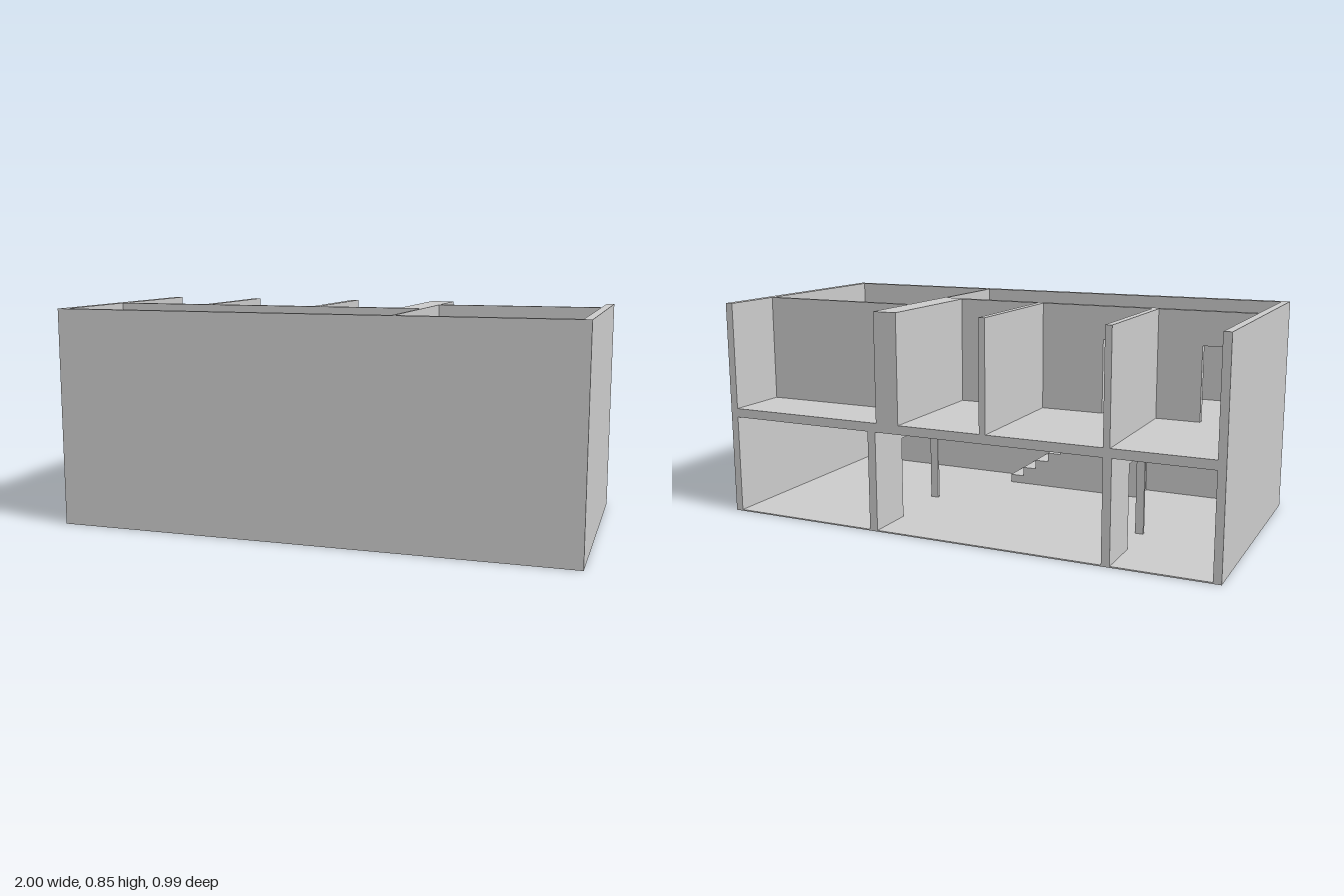
import * as THREE from 'three';

const H = 0.845, CEIL = 0.39, FLOOR = 0.425, Z = 0.495, T = 0.03;

export function createModel() {
  const house = new THREE.Group();
  house.name = 'openHouse';
  const material = new THREE.MeshStandardMaterial({ color: 0xcccccc, flatShading: true });

  const add = (name, geometry) => {
    const mesh = new THREE.Mesh(geometry, material);
    mesh.name = name;
    house.add(mesh);
    return mesh;
  };
  // Box given by its lower and upper limits on each axis
  const block = (name, x0, x1, y0, y1, z0, z1) =>
    add(name, new THREE.BoxGeometry(x1 - x0, y1 - y0, z1 - z0))
      .position.set((x0 + x1) / 2, (y0 + y1) / 2, (z0 + z1) / 2);
  const rectangle = (path, x0, y0, x1, y1) =>
    path.moveTo(x0, y0).lineTo(x1, y0).lineTo(x1, y1).lineTo(x0, y1).closePath();

  // Outer shell, open at the back and the top
  block('groundFloor', -1, 1, 0, 0.005, -Z, Z);
  block('frontWall', -1, 1, 0, H, Z - T, Z);
  block('leftWall', 1 - T, 1, 0, H, -Z, Z - T);
  block('rightWall', -1, -1 + T, 0, H, -Z, Z - T);

  // Upper floor with the stair opening (shape y is -z)
  const stair = { x0: -0.435, x1: 0.015, z0: 0.34, z1: Z - T };
  const slab = new THREE.Shape();
  rectangle(slab, -1 + T, -(Z - T), 1 - T, Z);
  const opening = new THREE.Path();
  rectangle(opening, stair.x0, -stair.z1 + 0.001, stair.x1, -stair.z0);
  slab.holes.push(opening);
  const slabGeometry = new THREE.ExtrudeGeometry(slab, { depth: FLOOR - CEIL, bevelEnabled: false });
  slabGeometry.rotateX(-Math.PI / 2).translate(0, CEIL, 0);
  add('upperFloor', slabGeometry);

  // Staircase climbing towards the right wall
  const steps = 10, tread = 0.0585, rise = FLOOR / (steps + 1);
  const profile = new THREE.Shape();
  profile.moveTo(stair.x0, 0);
  for (let i = 0; i < steps; i++) {
    const y = (steps - i) * rise;
    profile.lineTo(stair.x0 + i * tread, y).lineTo(stair.x0 + (i + 1) * tread, y);
  }
  profile.lineTo(stair.x0 + steps * tread, 0).closePath();
  const stairGeometry = new THREE.ExtrudeGeometry(profile, { depth: stair.z1 - stair.z0, bevelEnabled: false });
  add('staircase', stairGeometry.translate(0, 0, stair.z0));

  // Ground floor partitions: wall, lintel and slim post around a doorway
  for (const [x0, x1, zEnd] of [[0.33, 0.363, -0.01], [-0.607, -0.575, -0.115]]) {
    block('lowerPartition', x0, x1, 0.005, CEIL, -Z, -0.3);
    block('lowerLintel', x0, x1, 0.325, CEIL, -0.3, zEnd);
    block('lowerDoorPost', x0, x1, 0.005, CEIL, zEnd, zEnd + 0.012);
  }

  // Upper floor corridor wall with three doorways
  const corridor = new THREE.Shape();
  corridor.moveTo(-1 + T, FLOOR);
  for (const x of [-0.91, -0.52, -0.047]) {
    corridor.lineTo(x, FLOOR).lineTo(x, 0.715).lineTo(x + 0.138, 0.715).lineTo(x + 0.138, FLOOR);
  }
  corridor.lineTo(0.325, FLOOR).lineTo(0.325, H).lineTo(-1 + T, H).closePath();
  const corridorGeometry = new THREE.ExtrudeGeometry(corridor, { depth: 0.025, bevelEnabled: false });
  add('corridorWall', corridorGeometry.translate(0, 0, 0.03));

  // Upper floor partitions
  for (const [x0, x1] of [[-0.6, -0.575], [-0.13, -0.105], [0.23, 0.325]]) {
    block('roomPartition', x0, x1, FLOOR, H, -Z, 0.03);
  }
  block('corridorEndWall', 0.315, 0.325, FLOOR, H, 0.055, Z - T);
  block('leftRoomDivider', 0.325, 1 - T, FLOOR, H, -0.24, -0.22);

  return house;
}
